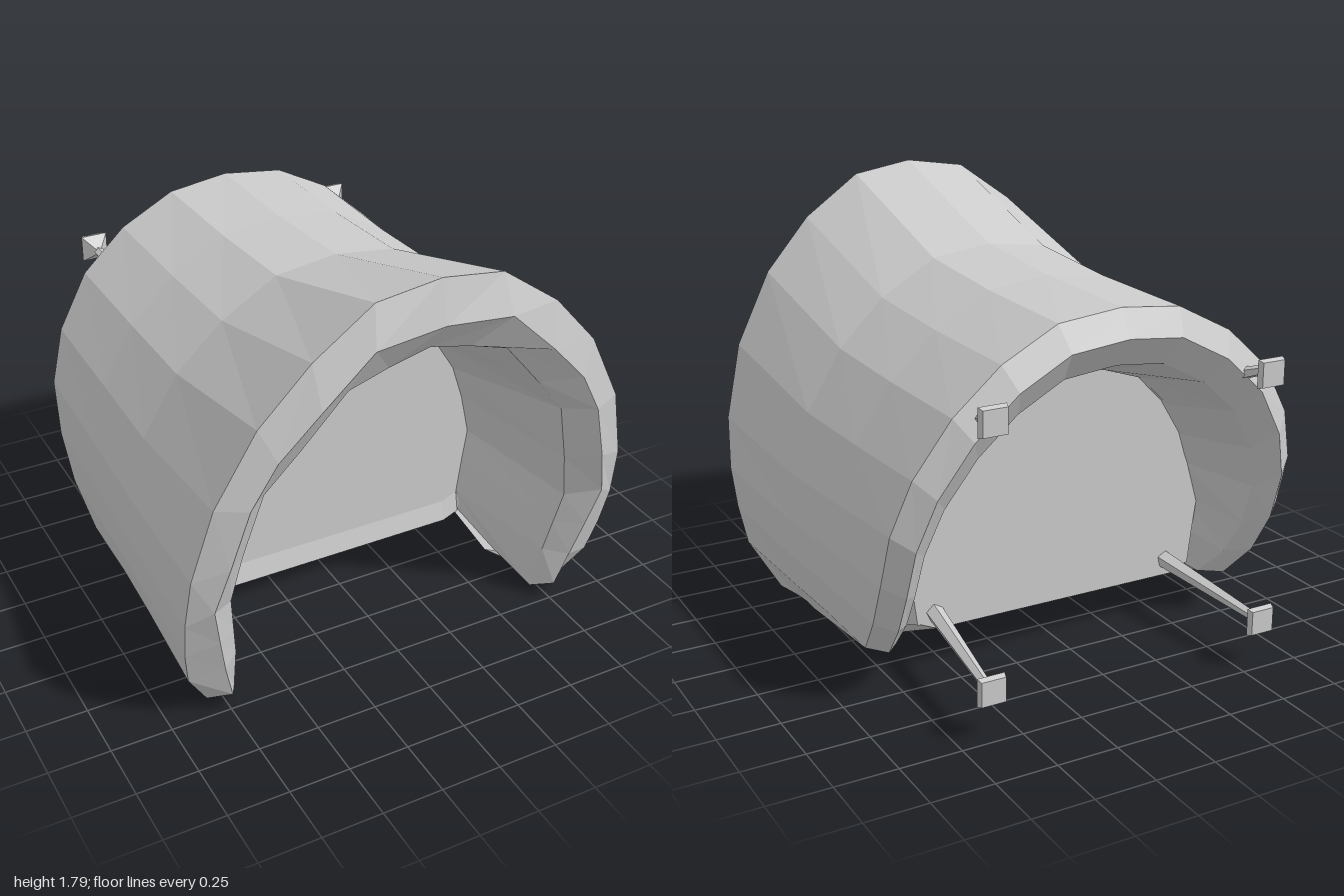
import * as THREE from 'three';

const material = new THREE.MeshStandardMaterial({ color: 0xcccccc, flatShading: true });

// Skin a list of closed rings (equal point counts) and close both ends
function loft(rings, name) {
  const pos = [];
  const tri = (a, b, c) => pos.push(...a, ...b, ...c);
  const n = rings[0].length;
  for (let r = 0; r < rings.length - 1; r++) {
    for (let i = 0; i < n; i++) {
      const j = (i + 1) % n;
      const a = rings[r][i], b = rings[r][j], c = rings[r + 1][j], d = rings[r + 1][i];
      tri(a, b, d);
      tri(b, c, d);
    }
  }
  const cap = (ring, flip) => {
    const mid = [0, 1, 2].map(k => ring.reduce((s, p) => s + p[k], 0) / n);
    ring.forEach((p, i) => {
      const q = ring[(i + 1) % n];
      if (flip) tri(mid, q, p); else tri(mid, p, q);
    });
  };
  cap(rings[0], true);
  cap(rings[rings.length - 1], false);
  const geo = new THREE.BufferGeometry();
  geo.setAttribute('position', new THREE.Float32BufferAttribute(pos, 3));
  geo.computeVertexNormals();
  const mesh = new THREE.Mesh(geo, material);
  mesh.name = name;
  return mesh;
}

// Half-arch edges, from foot to crown
const frontOuter = [[.81, 0, .65], [.92, .2, .74], [.945, .36, .78], [.955, .53, .82], [.94, .75, .86],
  [.86, 1.06, .9], [.7, 1.36, .93], [.5, 1.58, .95], [.26, 1.75, .95], [0, 1.79, .96]];
const frontCrest = [[.75, .09, .77], [.79, .25, .8], [.825, .42, .84], [.86, .6, .88], [.81, .8, .92],
  [.74, 1.05, .95], [.64, 1.23, .97], [.48, 1.4, .99], [.28, 1.59, 1], [0, 1.62, 1]];
const frontInner = [[.7, .03, .67], [.71, .25, .72], [.73, .4, .75], [.75, .55, .78], [.71, .76, .81],
  [.64, 1.03, .85], [.5, 1.2, .88], [.33, 1.4, .9], [.17, 1.45, .9], [0, 1.49, .9]];
const middleInner = [[.69, .05, .42], [.65, .22, .12], [.67, .38, .11], [.69, .52, .1], [.65, .7, .1],
  [.6, .85, .1], [.5, 1.01, .1], [.36, 1.15, .1], [.18, 1.21, .1], [0, 1.25, .1]];
const backOuter = [[.77, 0, .36], [.86, .17, -.4], [.89, .34, -.55], [.9, .53, -.65], [.89, .75, -.72],
  [.82, .97, -.77], [.68, 1.19, -.81], [.49, 1.36, -.82], [.26, 1.48, -.82], [0, 1.51, -.83]];

// Section through the shell at one station of the arch
function shellSection(i) {
  const a = frontOuter[i], d = backOuter[i], m = middleInner[i];
  const between = (f, dip) => {
    const p = a.map((v, k) => v + (d[k] - v) * f);
    p[0] *= .985;
    p[1] -= dip * p[1] / 1.7;
    return p;
  };
  const [x, y, z] = d;
  const inset = i === 0 ? .93 : .83;
  return [a, between(.43, .12), between(.7, .08), d,
    [x * (inset + 1) / 2, y * .93, z - .06], [x * inset, y * .85, z + .03],
    [m[0] * .95, m[1] * .95, m[2] + (z - m[2]) * .6], m, frontInner[i], frontCrest[i]];
}

function createShell() {
  const half = frontOuter.map((_, i) => shellSection(i));
  const mirrored = half.slice(0, -1).reverse().map(ring => ring.map(([x, y, z]) => [-x, y, z]));
  return loft([...half, ...mirrored], 'archShell');
}

// Thick wall filling the arch, its underside rising toward the back
function createWall() {
  const side = [[.58, .03], [.65, .11], ...middleInner.slice(1).map(([x, y]) => [x * 1.03, y * 1.02])];
  const outline = [...side.map(([x, y]) => [-x, y]), ...side.slice(0, -1).reverse()];
  const ring = (z, floor, scale = 1) => outline.map(([x, y]) =>
    [x * scale, Math.max(y * scale, floor + (y > .1 ? .03 : 0)), z]);
  return loft([ring(.14, .18), ring(.16, .09), ring(.02, .035), ring(-.12, .05), ring(-.4, .18, .95)], 'innerWall');
}

// Tapered rod with a flared square head
function createPeg(name, base, head, radius) {
  const peg = new THREE.Group();
  peg.name = name;
  const a = new THREE.Vector3(...base), b = new THREE.Vector3(...head);
  const rod = new THREE.Mesh(new THREE.CylinderGeometry(.02, radius, a.distanceTo(b), 5), material);
  rod.name = 'pegRod';
  rod.position.copy(a).lerp(b, .5);
  rod.quaternion.setFromUnitVectors(new THREE.Vector3(0, 1, 0), b.clone().sub(a).normalize());
  const profile = [[0, -.02], [.025, -.01], [.08, .035], [.07, .06], [0, .06]].map(p => new THREE.Vector2(...p));
  const cap = new THREE.Mesh(new THREE.LatheGeometry(profile, 4, Math.PI / 4), material);
  cap.name = 'pegHead';
  cap.rotation.x = -Math.PI / 2;
  cap.position.copy(b);
  peg.add(rod, cap);
  return peg;
}

export function createModel() {
  const model = new THREE.Group();
  model.name = 'archedHood';
  model.add(createShell(), createWall());
  for (const [side, s, shift] of [['Left', 1, .01], ['Right', -1, -.03]]) {
    model.add(createPeg('upperPeg' + side, [s * (.56 + shift), 1.17, -.8], [s * (.6 + shift), 1.22, -.94], .028));
    model.add(createPeg('lowerPeg' + side, [s * (.54 + shift), .26, -.3], [s * (.61 + shift), .2, -.94], .04));
  }
  return model;
}
